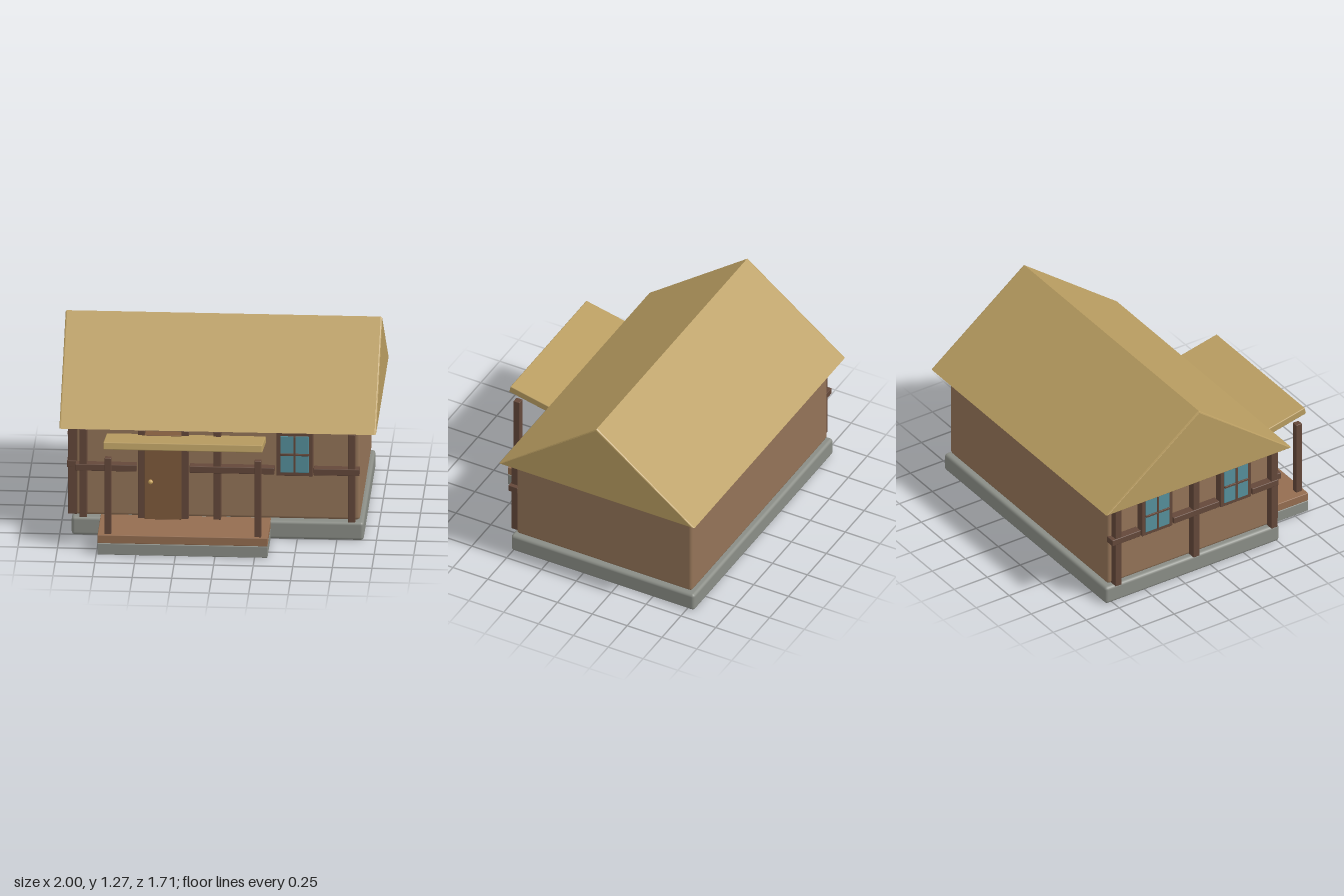
import * as THREE from 'three';
import { RoundedBoxGeometry } from 'three/addons/geometries/RoundedBoxGeometry.js';

const mat = (color) => new THREE.MeshStandardMaterial({ color });

export function createModel() {
  const house = new THREE.Group();
  house.name = 'cottage';

  const stone = mat(0x8a8d86);
  const plaster = mat(0x937357);
  const timber = mat(0x64483a);
  const planks = mat(0x946d50);
  const doorWood = mat(0x7f5a3c);
  const thatch = mat(0xb99d61);
  const glass = mat(0x558f9b);
  const brass = mat(0xc9a35c);

  // Rounded box given by its min and max corners
  function block(name, material, x0, x1, y0, y1, z0, z1, radius = 0.004, parent = house) {
    const geometry = new RoundedBoxGeometry(x1 - x0, y1 - y0, z1 - z0, 2, radius);
    const mesh = new THREE.Mesh(geometry, material);
    mesh.name = name;
    mesh.position.set((x0 + x1) / 2, (y0 + y1) / 2, (z0 + z1) / 2);
    parent.add(mesh);
    return mesh;
  }

  // Body
  block('foundation', stone, -0.925, 0.92, 0, 0.122, -0.8, 0.515, 0.02);
  block('walls', plaster, -0.9, 0.895, 0.128, 0.725, -0.77, 0.488, 0.02);

  // Gable roof: closed triangular prism with softened edges
  const bevel = 0.01;
  const gable = new THREE.Shape([
    new THREE.Vector2(-0.687, 0.735),
    new THREE.Vector2(0.687, 0.735),
    new THREE.Vector2(0, 1.253),
  ]);
  const roofGeometry = new THREE.ExtrudeGeometry(gable, {
    depth: 2 - 2 * bevel, bevelEnabled: true, bevelSize: bevel, bevelThickness: bevel, bevelSegments: 2,
  });
  roofGeometry.translate(0, 0, -(1 - bevel)).rotateY(-Math.PI / 2);
  const roof = new THREE.Mesh(roofGeometry, thatch);
  roof.name = 'roof';
  roof.position.z = -0.143;
  house.add(roof);

  // Porch
  block('porchBase', stone, -0.742, 0.332, 0, 0.075, 0.48, 0.855);
  block('porchDeck', planks, -0.742, 0.332, 0.077, 0.132, 0.48, 0.855);
  for (const x of [-0.677, 0.27]) {
    block('porchPost', timber, x - 0.021, x + 0.021, 0.13, 0.642, 0.793, 0.837);
  }
  const awning = block('porchRoof', thatch, -0.705, 0.3, 0.67, 0.718, 0.473, 0.863, 0.006);
  awning.rotation.x = -0.21;

  // Front timber frame
  for (const x of [-0.85, -0.482, -0.207, -0.003, 0.845]) {
    block('frontStud', timber, x - 0.023, x + 0.023, 0.13, 0.722, 0.48, 0.54);
  }
  for (const [a, b] of [[-0.9, -0.512], [-0.178, 0.357], [0.605, 0.895]]) {
    block('frontRail', timber, a, b, 0.446, 0.49, 0.48, 0.546);
  }

  // Side timber frame on the -x wall
  for (const z of [-0.72, -0.13, 0.46]) {
    block('sideStud', timber, -0.95, -0.89, 0.13, 0.722, z - 0.023, z + 0.023);
  }
  for (const [a, b] of [[-0.77, -0.555], [-0.305, 0.04], [0.29, 0.488]]) {
    block('sideRail', timber, -0.955, -0.89, 0.446, 0.49, a, b);
  }

  // Door
  block('door', doorWood, -0.462, -0.228, 0.132, 0.7, 0.48, 0.557);
  const knob = new THREE.Mesh(new THREE.SphereGeometry(0.015, 16, 12), brass);
  knob.name = 'doorKnob';
  knob.position.set(-0.423, 0.388, 0.568);
  house.add(knob);

  // Four-pane window, built facing +z around its own centre
  function makeWindow(name) {
    const g = new THREE.Group();
    g.name = name;
    const w = 0.115, h = 0.146, bar = 0.028;
    for (const s of [-1, 1]) {
      const x = s * (w - bar / 2), y = s * (h - bar / 2);
      block('windowJamb', timber, x - bar / 2, x + bar / 2, -h, h, -0.02, 0.054, 0.004, g);
      block('windowSill', timber, -w, w, y - bar / 2, y + bar / 2, -0.02, 0.054, 0.004, g);
    }
    block('windowGlass', glass, -0.09, 0.09, -0.122, 0.122, 0, 0.058, 0.003, g);
    block('windowMullion', timber, -0.007, 0.007, -0.122, 0.122, 0.03, 0.066, 0.002, g);
    block('windowTransom', timber, -0.09, 0.09, -0.007, 0.007, 0.03, 0.066, 0.002, g);
    house.add(g);
    return g;
  }
  makeWindow('frontWindow').position.set(0.485, 0.584, 0.49);
  for (const z of [-0.43, 0.165]) {
    const side = makeWindow('sideWindow');
    side.position.set(-0.9, 0.584, z);
    side.rotation.y = -Math.PI / 2;
  }

  return house;
}
